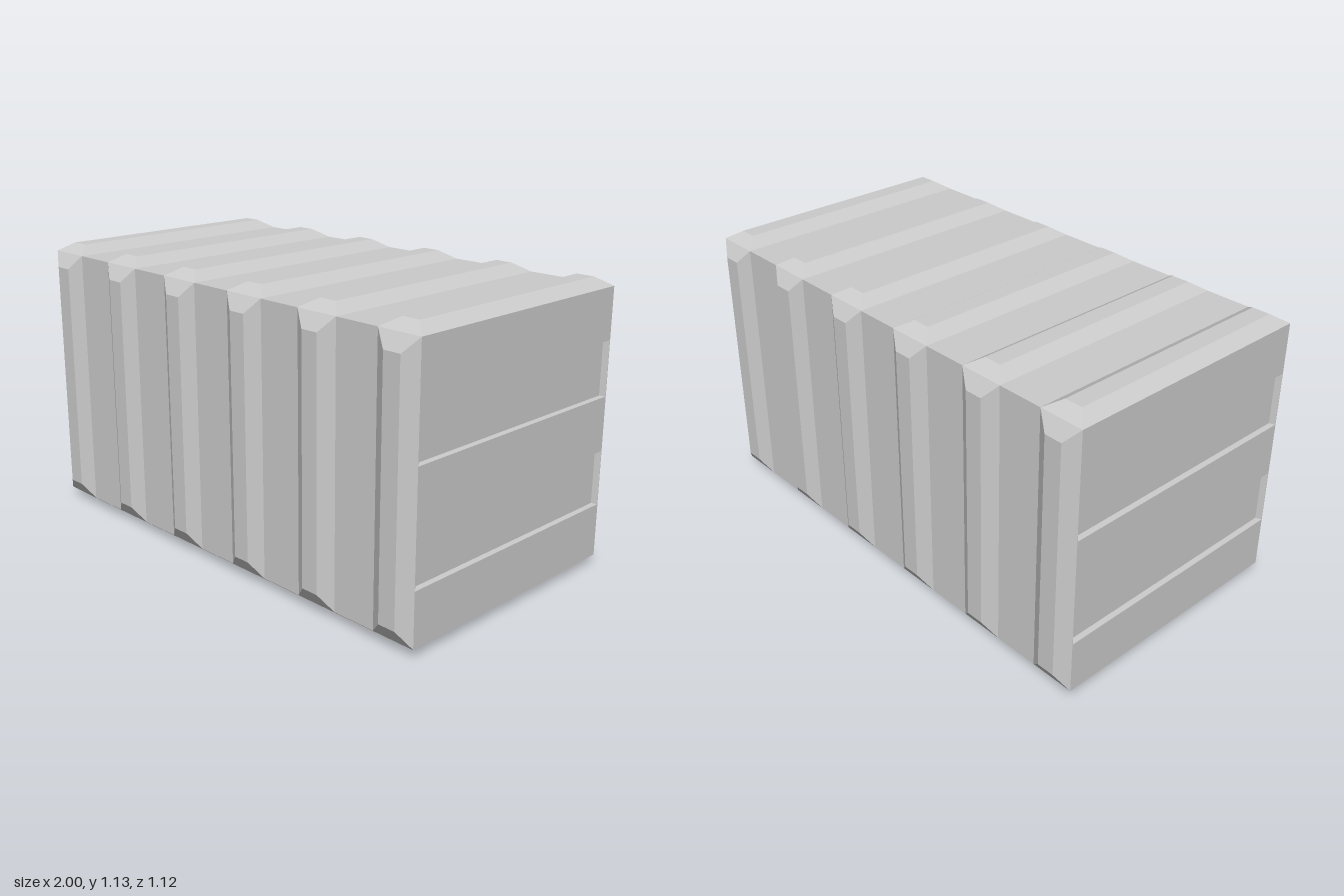
import * as THREE from 'three';

const W = 2, D = 1.05, Y0 = 0.04, Y1 = 1.095;
const H = Y1 - Y0, MID = (Y0 + Y1) / 2;
const RIB_W = 0.18, RIB_TOP = 0.072, RIB_H = 0.034;
const material = new THREE.MeshStandardMaterial({ color: 0xcccccc, flatShading: true });

// Open-based frustum rising along +z; a negative height makes a recess.
function frustum(w, l, topW, topL, h) {
  const ring = (a, b, z) => [[-a, -b, z], [a, -b, z], [a, b, z], [-a, b, z]];
  const base = ring(w / 2, l / 2, 0), top = ring(topW / 2, topL / 2, h);
  const pos = [];
  const quad = (a, b, c, d) => pos.push(...a, ...b, ...c, ...a, ...c, ...d);
  for (let i = 0; i < 4; i++) {
    const j = (i + 1) % 4;
    quad(base[i], base[j], top[j], top[i]);
  }
  quad(...top);
  const geo = new THREE.BufferGeometry();
  geo.setAttribute('position', new THREE.Float32BufferAttribute(pos, 3));
  geo.computeVertexNormals();
  return geo;
}

function add(parent, name, geo, x = 0, y = 0, z = 0) {
  const mesh = new THREE.Mesh(geo, material);
  mesh.name = name;
  mesh.position.set(x, y, z);
  parent.add(mesh);
  return mesh;
}

// Wall with six bevelled ribs and flat panels between them.
function ribbedWall(name, length, ribTopLength) {
  const wall = new THREE.Group();
  wall.name = name;
  const count = 6, step = (W - RIB_W) / (count - 1);
  const rib = frustum(RIB_W, length, RIB_TOP, ribTopLength, RIB_H);
  const panel = new THREE.PlaneGeometry(step - RIB_W, length);
  for (let i = 0; i < count; i++) {
    const x = -W / 2 + RIB_W / 2 + i * step;
    add(wall, 'rib', rib, x);
    if (i < count - 1) add(wall, 'panel', panel, x + step / 2);
  }
  return wall;
}

// End wall with two long horizontal recesses.
function endWall(name) {
  const wall = new THREE.Group();
  wall.name = name;
  const a = D / 2, b = H / 2, bandH = 0.215, bandL = D - 0.004;
  const shape = new THREE.Shape([[-a, -b], [a, -b], [a, b], [-a, b]].map(p => new THREE.Vector2(...p)));
  const recess = frustum(bandL, bandH, bandL - 0.018, bandH - 0.002, -0.022);
  for (const y of [0.3575, 0.7865]) {
    const c = y - MID, u = bandL / 2, v = bandH / 2;
    shape.holes.push(new THREE.Path([[-u, c - v], [-u, c + v], [u, c + v], [u, c - v]].map(p => new THREE.Vector2(...p))));
    add(wall, 'recess', recess, 0, c);
  }
  add(wall, 'endFrame', new THREE.ShapeGeometry(shape));
  return wall;
}

export function createModel() {
  const model = new THREE.Group();
  model.name = 'container';

  // Roof and long sides
  const roof = ribbedWall('roof', D, 0.945);
  roof.rotation.x = -Math.PI / 2;
  roof.position.y = Y1;
  model.add(roof);
  for (const s of [1, -1]) {
    const side = ribbedWall(s > 0 ? 'frontWall' : 'backWall', H, 0.94);
    side.rotation.y = s > 0 ? 0 : Math.PI;
    side.position.set(0, MID, s * D / 2);
    model.add(side);

    // Short ends
    const end = endWall(s > 0 ? 'leftEnd' : 'rightEnd');
    end.rotation.y = s * Math.PI / 2;
    end.position.set(s * W / 2, MID, 0);
    model.add(end);
  }

  // Bevelled base
  const base = add(model, 'base', frustum(W, D, 1.885, 0.945, Y0), 0, Y0, 0);
  base.rotation.x = Math.PI / 2;
  return model;
}
